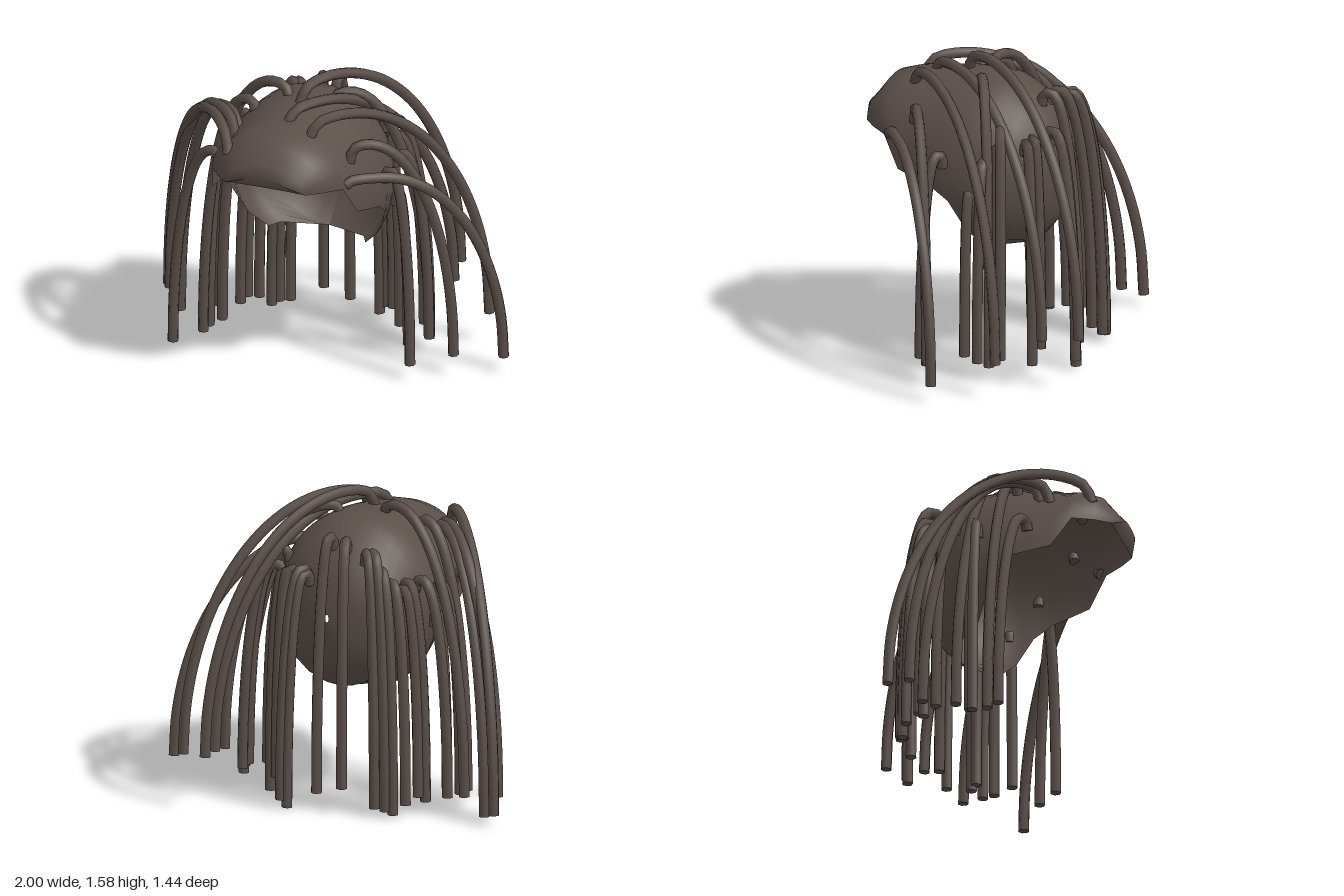
import * as THREE from 'three';

const hair = new THREE.MeshStandardMaterial({ color: 0x5a4e48, side: THREE.DoubleSide });
hair.name = 'dark brown hair';

// Cap profile from back to front: z, half width, top, rim height; the last row folds the brim under
const profile = [
  [-0.35, 0.01, 1.02, 0],
  [-0.33, 0.16, 1.2, 0],
  [-0.28, 0.27, 1.3, 0],
  [-0.2, 0.35, 1.39, 0],
  [-0.1, 0.4, 1.45, 0.63],
  [-0.03, 0.425, 1.475, 0.63],
  [0.03, 0.435, 1.48, 0.72],
  [0.1, 0.44, 1.48, 0.89],
  [0.2, 0.44, 1.475, 0.96],
  [0.4, 0.4, 1.45, 1.01],
  [0.5, 0.36, 1.43, 1.17],
  [0.6, 0.29, 1.4, 1.18],
  [0.67, 0.22, 1.31, 1.185],
  [0.715, 0.11, 1.26, 1.235],
  [0.67, 0.22, 1.19, 1.185],
];
const capX = -0.03;
const middle = (rim) => Math.max(1, rim);

// Height of the cap surface above a point
function capHeight(x, z) {
  const i = profile.findIndex((s) => s[0] > z);
  const [a, b] = [profile[i - 1], profile[i]];
  const t = (z - a[0]) / (b[0] - a[0]);
  const [, w, top, rim] = a.map((v, k) => THREE.MathUtils.lerp(v, b[k], t));
  return middle(rim) + (top - middle(rim)) * Math.sqrt(Math.max(0, 1 - ((x - capX) / w) ** 2));
}

// Distance from the axis at which the cap has fallen to height y
function capRadius(c, s, y) {
  let r = 0.1;
  while (r * s > -0.335 && capHeight(r * c, r * s) > Math.max(y, 1.001)) r += 0.005;
  return r;
}

// Open shell of elliptical arches, each cut off at its rim
function makeCap() {
  const n = 32, pos = [], index = [];
  profile.forEach(([z, w, top, rim], i) => {
    const r = top - middle(rim);
    const a = Math.asin(Math.min(1, (middle(rim) - rim) / r));
    for (let j = 0; j <= n; j++) {
      const t = -a + (Math.PI + 2 * a) * j / n;
      pos.push(capX + w * Math.cos(t), middle(rim) + r * Math.sin(t), z);
      if (i < profile.length - 1 && j < n) {
        const p = i * (n + 1) + j, q = p + n + 1;
        index.push(p, p + 1, q, p + 1, q + 1, q);
      }
    }
  });
  const g = new THREE.BufferGeometry();
  g.setAttribute('position', new THREE.Float32BufferAttribute(pos, 3));
  g.setIndex(index);
  g.computeVertexNormals();
  const cap = new THREE.Mesh(g, hair);
  cap.name = 'cap';
  return cap;
}

// Lock of hair: short rise from the cap, then a quarter-ellipse fall to the tip
function makeStrand(name, x0, y0, z0, x1, y1, z1, lift, lead) {
  const at = (u, y) => new THREE.Vector3(x0 + (x1 - x0) * u, y, z0 + (z1 - z0) * u);
  const pts = [at(0, y0 - 0.02), at(lead * 0.25, y0 + lift * 0.7)];
  for (let k = 0; k <= 8; k++) {
    const t = k / 8 * Math.PI / 2;
    pts.push(at(lead + (1 - lead) * Math.sin(t), y1 + (y0 + lift - y1) * Math.cos(t)));
  }
  const path = new THREE.CatmullRomCurve3(pts, false, 'centripetal');
  const strand = new THREE.Group();
  strand.name = name;
  strand.add(new THREE.Mesh(new THREE.TubeGeometry(path, 36, 0.028, 7), hair));
  for (const [u, s] of [[0, -1], [1, 1]]) {
    const end = new THREE.Mesh(new THREE.CircleGeometry(0.028, 7), hair);
    end.position.copy(path.getPointAt(u));
    end.lookAt(end.position.clone().addScaledVector(path.getTangentAt(u), s));
    strand.add(end);
  }
  strand.children.forEach((m, k) => { m.name = ['lock', 'rootEnd', 'tipEnd'][k]; });
  return strand;
}

// Long sweeping locks: root x, z, tip x, y, z, lift above the cap
const longLocks = [
  [-0.03, 0.2, 0.49, 0.29, -0.7, 0.09],
  [-0.02, 0.38, 0.53, 0.27, -0.51, 0.05],
  [0.12, 0.43, 0.78, 0.19, -0.37, 0.07],
  [0.3, 0.34, 0.75, 0.12, 0.04, 0.07],
  [0.33, 0.47, 0.97, 0.09, -0.1, 0],
  [0.1, 0.06, 0.52, 0.08, -0.2, 0.03],
  [-0.27, 0.58, -0.97, 0.07, -0.32, 0.1],
  [-0.32, 0.37, -0.92, 0.1, -0.22, 0.08],
  [-0.32, 0.32, -0.84, 0.01, -0.17, 0.06],
  [-0.44, 0.28, -0.73, 0.01, 0.2, 0.03],
  [-0.12, 0.12, -0.66, 0.06, -0.04, 0.04],
  [-0.28, 0.19, -0.6, 0.05, 0.11, 0.04],
];

// Short locks hang radially round the sides and back: degrees from left, reach, tip y, root y
const shortLocks = [
  [-17, 0.59, 0.09, 1.09], [4, 0.47, 0.1, 0.9], [15, 0.56, 0.1, 1.08], [25, 0.53, 0.14, 1.15],
  [27, 0.56, 0.12, 1.24], [48, 0.45, 0.05, 1.16], [55, 0.44, 0.13, 1.18], [73, 0.53, 0.06, 1.2],
  [76, 0.51, 0.02, 1.18], [92, 0.44, 0.1, 1.36], [110, 0.47, 0.14, 1.35], [129, 0.53, 0.05, 1.3],
  [134, 0.56, 0.04, 1.3], [138, 0.57, 0.02, 1.22], [144, 0.59, 0.07, 1.16], [152, 0.58, 0.1, 1.12],
  [156, 0.59, 0.07, 1.15], [166, 0.64, 0.08, 1.15], [180, 0.54, 0.08, 0.95], [183, 0.6, 0.05, 1.1],
];

export function createModel() {
  const wig = new THREE.Group();
  wig.name = 'wig';
  wig.add(makeCap());
  longLocks.forEach(([x0, z0, x1, y1, z1, lift], i) => {
    wig.add(makeStrand('longLock' + (i + 1), x0, capHeight(x0, z0), z0, x1, y1, z1, lift, 0.16));
  });
  shortLocks.forEach(([degrees, reach, y1, y0], i) => {
    const a = THREE.MathUtils.degToRad(degrees), c = Math.cos(a), s = -Math.sin(a);
    const r = capRadius(c, s, y0);
    wig.add(makeStrand('shortLock' + (i + 1), r * c, y0, r * s, reach * c, y1, reach * s, 0.05, 0.25));
  });
  return wig;
}
